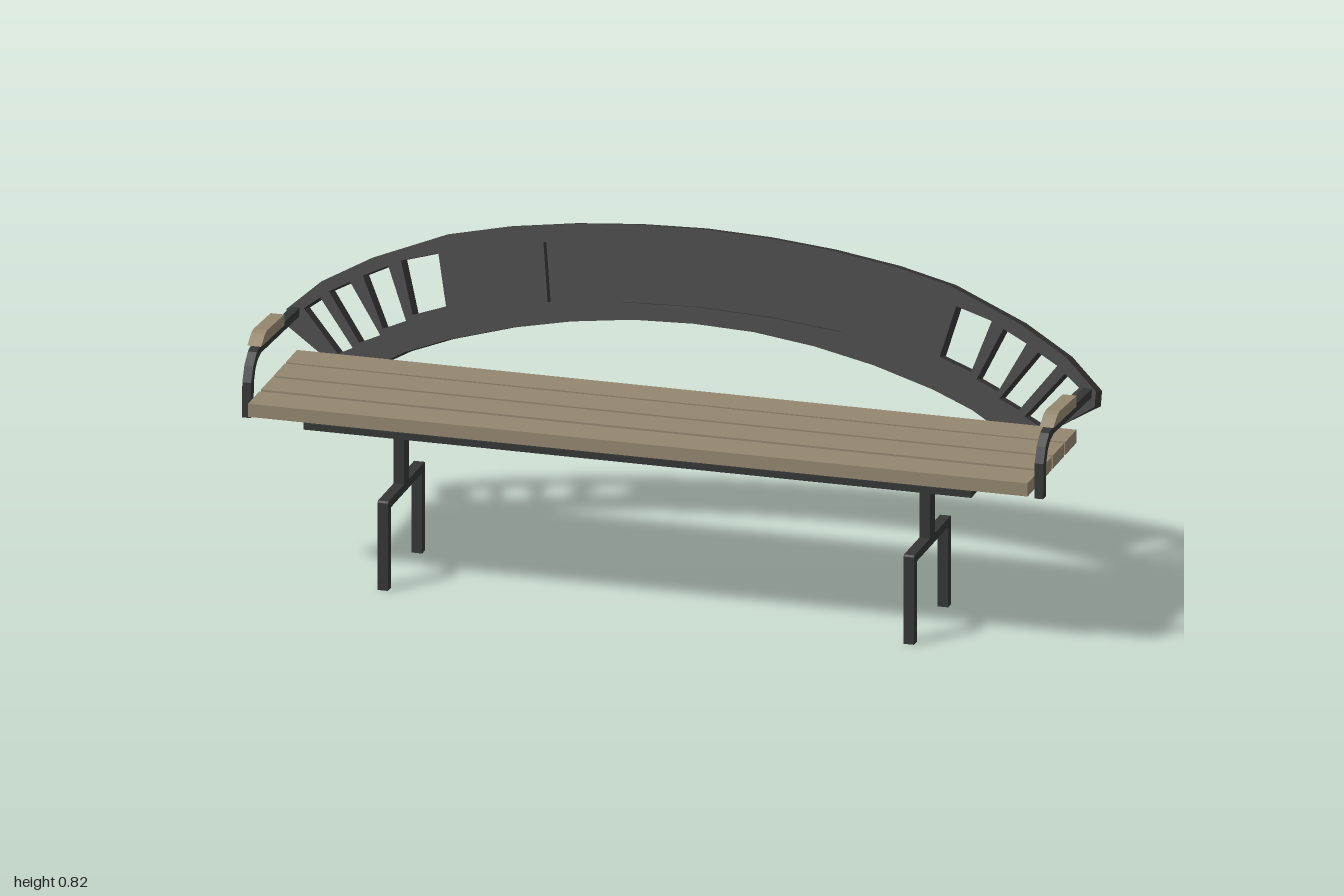
import * as THREE from 'three';

const steel = new THREE.MeshStandardMaterial({ color: 0x373737 });
steel.name = 'dark steel';
const frameSteel = new THREE.MeshStandardMaterial({ color: 0x343636 });
frameSteel.name = 'frame steel';
const wood = new THREE.MeshStandardMaterial({ color: 0x95876f });
wood.name = 'weathered wood';

// Box given by its minimum and maximum corners
function box(parent, name, material, [x0, y0, z0], [x1, y1, z1]) {
  const mesh = new THREE.Mesh(new THREE.BoxGeometry(x1 - x0, y1 - y0, z1 - z0), material);
  mesh.position.set((x0 + x1) / 2, (y0 + y1) / 2, (z0 + z1) / 2);
  mesh.name = name;
  parent.add(mesh);
}

// Side profile of [z, y] points, extruded along x and centred on x
function sideProfile(parent, name, material, points, x, width) {
  const shape = new THREE.Shape(points.map(([z, y]) => new THREE.Vector2(-z, y)));
  const geometry = new THREE.ExtrudeGeometry(shape, { depth: width, bevelEnabled: false });
  geometry.translate(0, 0, -width / 2).rotateY(Math.PI / 2);
  const mesh = new THREE.Mesh(geometry, material);
  mesh.position.x = x;
  mesh.name = name;
  parent.add(mesh);
}

// Backrest: a leaning, arched panel with slots at both ends and a recessed field
const BASE = 0.409;
const FRAME_TOP = 0.425;
const LEAN = Math.atan(0.305);
const toPanel = ([x, y]) => new THREE.Vector2(x, (y - BASE) / Math.cos(LEAN));
const mirror = (points) => points.map(([x, y]) => [-x, y]).reverse();

function createBackrest() {
  const group = new THREE.Group();
  group.name = 'backrest';
  const thickness = 0.052;
  const recess = 0.025;
  const outer = [[0, 0.82], [0.16, 0.815], [0.32, 0.802], [0.48, 0.78], [0.62, 0.75],
    [0.8, 0.68], [0.92, 0.615], [1, 0.545]];
  const inner = [[1, 0.51], [0.84, BASE], [0.8, BASE], [0.78, 0.432], [0.7, 0.475], [0.6, 0.512],
    [0.45, 0.553], [0.3, 0.582], [0.15, 0.6], [0, 0.605]];
  const half = [...outer, ...inner];
  // Counterclockwise outline, so that the walls of the holes face inwards
  const outline = [...half, ...mirror(half).slice(1, -1)].reverse();
  const slots = [
    [[0.61, 0.587], [0.69, 0.56], [0.73, 0.68], [0.64, 0.705]],
    [[0.705, 0.545], [0.76, 0.522], [0.82, 0.637], [0.76, 0.665]],
    [[0.765, 0.507], [0.815, 0.485], [0.9, 0.594], [0.85, 0.62]],
    [[0.83, 0.472], [0.865, 0.455], [0.958, 0.55], [0.92, 0.578]],
  ].map((slot) => slot.reverse());
  const fieldHalf = [[0, 0.782], [0.2, 0.775], [0.385, 0.755], [0.362, 0.62], [0.18, 0.637], [0, 0.643]];
  const field = [...fieldHalf, ...mirror(fieldHalf).slice(1, -1)];
  const slotHoles = slots.flatMap((slot) => [slot, mirror(slot)]);

  function layer(name, holes, zBack, depth) {
    const shape = new THREE.Shape(outline.map(toPanel));
    shape.holes = holes.map((hole) => new THREE.Path(hole.map(toPanel)));
    const geometry = new THREE.ExtrudeGeometry(shape, { depth, bevelEnabled: false });
    geometry.translate(0, 0, zBack);
    // Trim the foot of the leaning panel level with the seat frame
    const pos = geometry.attributes.position;
    for (let i = 0; i < pos.count; i++) {
      pos.setY(i, Math.max(pos.getY(i), -pos.getZ(i) * Math.tan(LEAN)));
    }
    geometry.computeVertexNormals();
    const mesh = new THREE.Mesh(geometry, steel);
    mesh.name = name;
    group.add(mesh);
  }
  layer('backrestFront', [...slotHoles, field], -recess, recess);
  layer('backrestRear', slotHoles, -thickness, thickness - recess);
  group.rotation.x = -LEAN;
  group.position.set(0, BASE, -0.11);
  return group;
}

// Armrest: bent bar with a wooden pad on top
function createArmrest(side) {
  const group = new THREE.Group();
  group.name = side > 0 ? 'leftArmrest' : 'rightArmrest';
  const bar = [[0.243, 0.408], [0.24, 0.495], [0.223, 0.532], [0.195, 0.557], [0.16, 0.566], [-0.165, 0.55],
    [-0.165, 0.529], [0.157, 0.544], [0.185, 0.537], [0.205, 0.52], [0.218, 0.49], [0.222, 0.408]];
  sideProfile(group, 'armBar', frameSteel, bar, side * 0.979, 0.022);
  const pad = [[0.18, 0.566], [0.16, 0.579], [0.147, 0.587], [0.13, 0.591], [-0.009, 0.583],
    [-0.009, 0.556], [0.15, 0.564]];
  sideProfile(group, 'armPad', wood, pad, side * 0.979, 0.034);
  return group;
}

// Leg: a two-footed arch and a post up to the seat
function createLeg(side) {
  const group = new THREE.Group();
  group.name = side > 0 ? 'leftLeg' : 'rightLeg';
  const arch = [[0.217, 0], [0.217, 0.219], [0.213, 0.223], [-0.08, 0.223], [-0.084, 0.219], [-0.084, 0],
    [-0.059, 0], [-0.059, 0.202], [0.192, 0.202], [0.192, 0]];
  sideProfile(group, 'footArch', frameSteel, arch, 0, 0.026);
  box(group, 'post', frameSteel, [-0.013, 0.223, 0.046], [0.013, BASE, 0.088]);
  group.position.x = side * 0.65;
  return group;
}

export function createModel() {
  const bench = new THREE.Group();
  bench.name = 'bench';

  // Seat slats
  for (const z of [0.281, 0.177, 0.076, -0.024]) {
    box(bench, 'seatSlat', wood, [-0.963, FRAME_TOP, z - 0.091], [0.963, 0.458, z]);
  }

  // Seat frame: long rails and end crossbars
  for (const [z0, z1] of [[0.262, 0.286], [0.046, 0.088], [-0.16, -0.136]]) {
    box(bench, 'seatRail', frameSteel, [-0.825, BASE, z0], [0.825, FRAME_TOP, z1]);
  }
  for (const x of [-0.815, 0.815]) {
    box(bench, 'seatCrossbar', frameSteel, [x - 0.0105, BASE, -0.159], [x + 0.0105, FRAME_TOP, 0.285]);
  }

  bench.add(createBackrest());
  for (const side of [-1, 1]) bench.add(createArmrest(side), createLeg(side));
  return bench;
}
